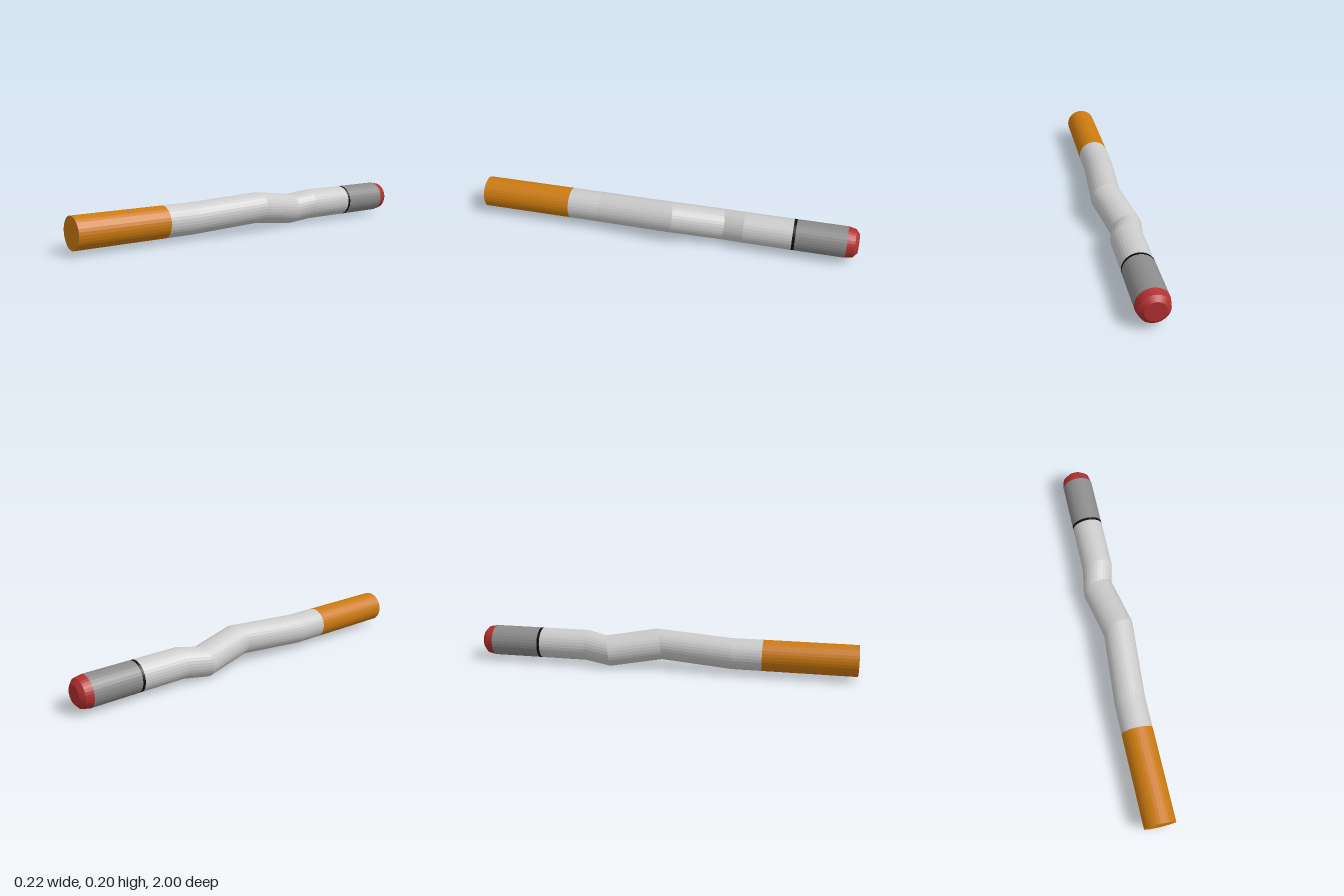
import * as THREE from 'three';

const SIDES = 32, R = 0.081, CX = -0.004, CY = 0.101;

// Ring of a tube running along z; tx and ty slant the ring's plane.
const ring = (z, r = R, cx = CX, cy = CY, tx = 0, ty = 0) => ({ z, r, cx, cy, tx, ty });

// Skin rings listed from front (+z) to back, with optional end caps.
function loft(name, color, rings, capFront = false, capBack = false) {
  const pos = [], idx = [];
  for (const k of rings) {
    for (let i = 0; i < SIDES; i++) {
      const a = (i / SIDES) * Math.PI * 2;
      const dx = k.r * Math.cos(a), dy = k.r * Math.sin(a);
      pos.push(k.cx + dx, k.cy + dy, k.z + k.tx * dx + k.ty * dy);
    }
  }
  for (let j = 0; j < rings.length - 1; j++) {
    for (let i = 0; i < SIDES; i++) {
      const n = (i + 1) % SIDES;
      const a = j * SIDES + i, b = j * SIDES + n, c = a + SIDES, d = b + SIDES;
      idx.push(a, c, b, b, c, d);
    }
  }
  const last = (rings.length - 1) * SIDES;
  for (let i = 1; i < SIDES - 1; i++) {
    if (capFront) idx.push(0, i, i + 1);
    if (capBack) idx.push(last, last + i + 1, last + i);
  }
  const geo = new THREE.BufferGeometry();
  geo.setAttribute('position', new THREE.Float32BufferAttribute(pos, 3));
  geo.setIndex(idx);
  geo.computeVertexNormals();
  const mesh = new THREE.Mesh(geo, new THREE.MeshStandardMaterial({ color, flatShading: true }));
  mesh.name = name;
  return mesh;
}

export function createModel() {
  const group = new THREE.Group();
  group.name = 'bentCigarette';

  // Straight filter at the front
  group.add(loft('filter', 0xcc7a10, [ring(1), ring(0.52)], true, true));

  // Paper tube with two crumpled bends
  group.add(loft('paperTube', 0xcccccc, [
    ring(0.52),
    ring(0.36, R, CX, CY, -0.05, -0.05),
    ring(-0.03, R, 0.025, 0.122, -0.24, -0.15),
    ring(-0.298, R, -0.028, 0.084, -0.22, -0.12),
    ring(-0.42),
    ring(-0.67),
  ], true, true));

  // Thin burn line, ash and glowing tip
  group.add(loft('burnLine', 0x0a0a0a, [ring(-0.67), ring(-0.684)], true, true));
  group.add(loft('ash', 0x8c8c8c, [ring(-0.684), ring(-0.94)], true, true));
  group.add(loft('emberTip', 0xb23030, [
    ring(-0.94), ring(-0.98, 0.073), ring(-1, 0.05),
  ], true, true));

  return group;
}
